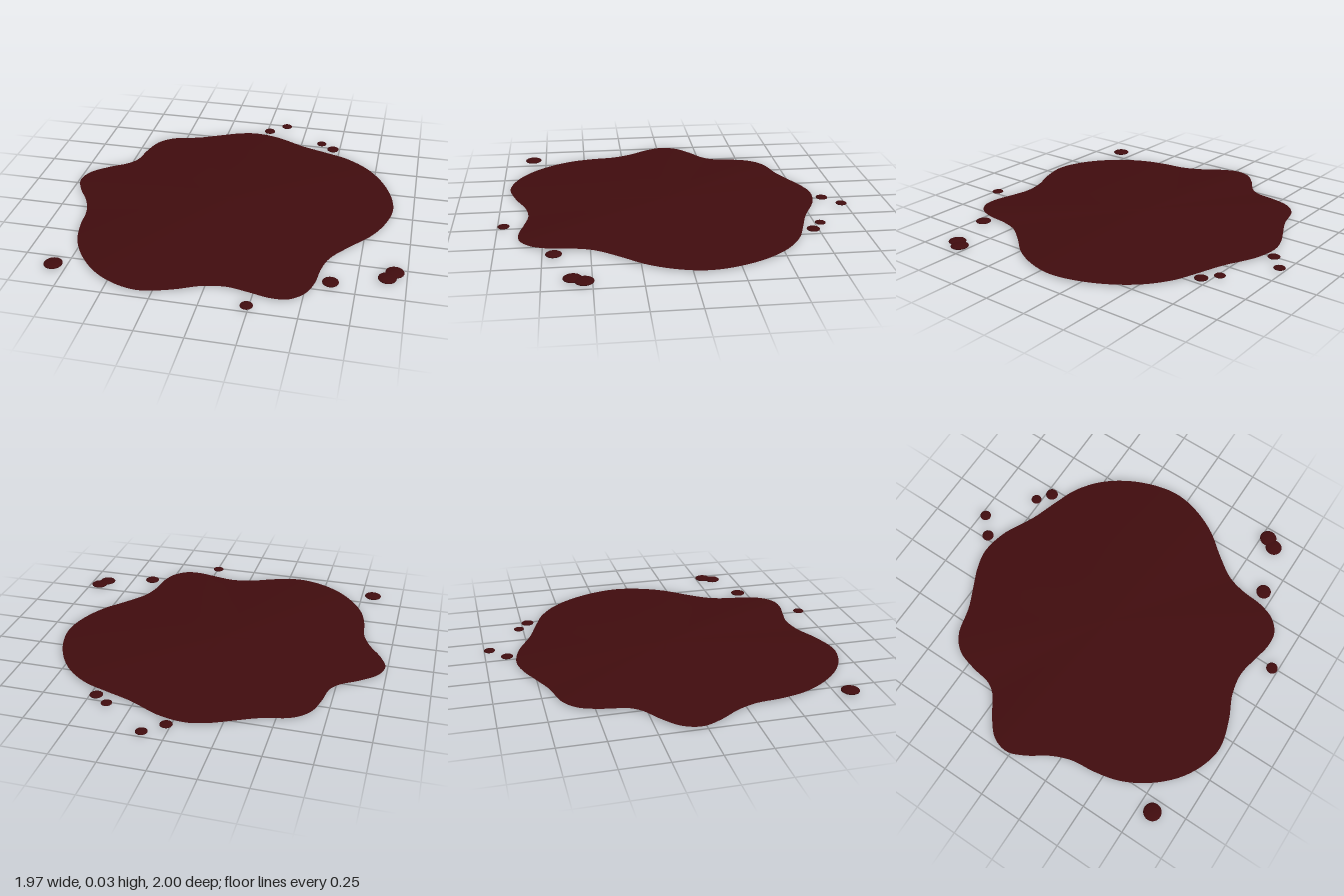
import * as THREE from 'three';

// Pool outline as [x, z] points, joined by a smooth closed curve
const OUTLINE = [
  [-0.07, -0.835], [0.08, -0.81], [0.27, -0.72], [0.43, -0.665], [0.56, -0.615], [0.69, -0.52],
  [0.795, -0.38], [0.865, -0.21], [0.885, -0.065], [0.855, 0.08], [0.785, 0.225], [0.675, 0.36],
  [0.59, 0.48], [0.558, 0.585], [0.542, 0.715], [0.505, 0.81], [0.435, 0.87], [0.345, 0.88],
  [0.225, 0.855], [0.11, 0.835], [-0.015, 0.855], [-0.155, 0.915], [-0.315, 0.955], [-0.445, 0.93],
  [-0.58, 0.855], [-0.695, 0.735], [-0.775, 0.595], [-0.812, 0.45], [-0.828, 0.31], [-0.87, 0.2],
  [-0.95, 0.075], [-0.987, -0.025], [-0.96, -0.12], [-0.87, -0.205], [-0.765, -0.278], [-0.722, -0.34],
  [-0.7, -0.46], [-0.66, -0.58], [-0.58, -0.653], [-0.42, -0.7], [-0.29, -0.76], [-0.18, -0.81],
];

// Splashed droplets: x, z, radius
const DROPS = [
  [0.02, -0.88, 0.034], [0.12, -0.97, 0.032], [0.38, -0.775, 0.03], [0.46, -0.715, 0.036],
  [0.935, 0.54, 0.049], [0.9, 0.597, 0.048], [0.62, 0.69, 0.043], [-0.82, 0.83, 0.05],
  [0.24, 0.965, 0.033],
];

const CENTRE = [-0.04, 0.03];
const EDGE_Y = 0.009;
const DOME = 0.023;

// Shallow dome: concentric rings shrinking from the outline to the centre
function poolGeometry(segments = 192, rings = 20) {
  const curve = new THREE.CatmullRomCurve3(
    OUTLINE.map(([x, z]) => new THREE.Vector3(x, 0, z)), true);
  const rim = curve.getPoints(segments);
  const positions = [];
  const index = [];
  for (let r = 0; r <= rings; r++) {
    const t = r / rings;
    const y = EDGE_Y + DOME * (1 - Math.pow(t, 1.7));
    for (const p of rim) {
      positions.push(
        CENTRE[0] + (p.x - CENTRE[0]) * t, y, CENTRE[1] + (p.z - CENTRE[1]) * t);
    }
  }
  const row = segments + 1;
  for (let r = 0; r < rings; r++) {
    for (let s = 0; s < segments; s++) {
      const a = r * row + s;
      const b = a + row;
      if (r > 0) index.push(a, a + 1, b);
      index.push(a + 1, b + 1, b);
    }
  }
  const geometry = new THREE.BufferGeometry();
  geometry.setAttribute('position', new THREE.Float32BufferAttribute(positions, 3));
  geometry.setIndex(index);
  geometry.computeVertexNormals();
  // The innermost ring collapses to one point facing straight up
  for (let s = 0; s < row; s++) geometry.attributes.normal.setXYZ(s, 0, 1, 0);
  return geometry;
}

export function createModel() {
  const group = new THREE.Group();
  group.name = 'puddle';

  const darkRed = new THREE.MeshStandardMaterial({ color: 0x400c0e, side: THREE.DoubleSide });
  darkRed.name = 'darkRed';

  const pool = new THREE.Mesh(poolGeometry(), darkRed);
  pool.name = 'pool';
  group.add(pool);

  // Flattened beads scattered around the pool
  const bead = new THREE.SphereGeometry(1, 28, 14);
  const droplets = new THREE.Group();
  droplets.name = 'droplets';
  DROPS.forEach(([x, z, radius], i) => {
    const drop = new THREE.Mesh(bead, darkRed);
    drop.name = `droplet${i + 1}`;
    drop.scale.set(radius, radius * 0.25, radius);
    drop.position.set(x, 0.0125, z);
    droplets.add(drop);
  });
  group.add(droplets);

  return group;
}
